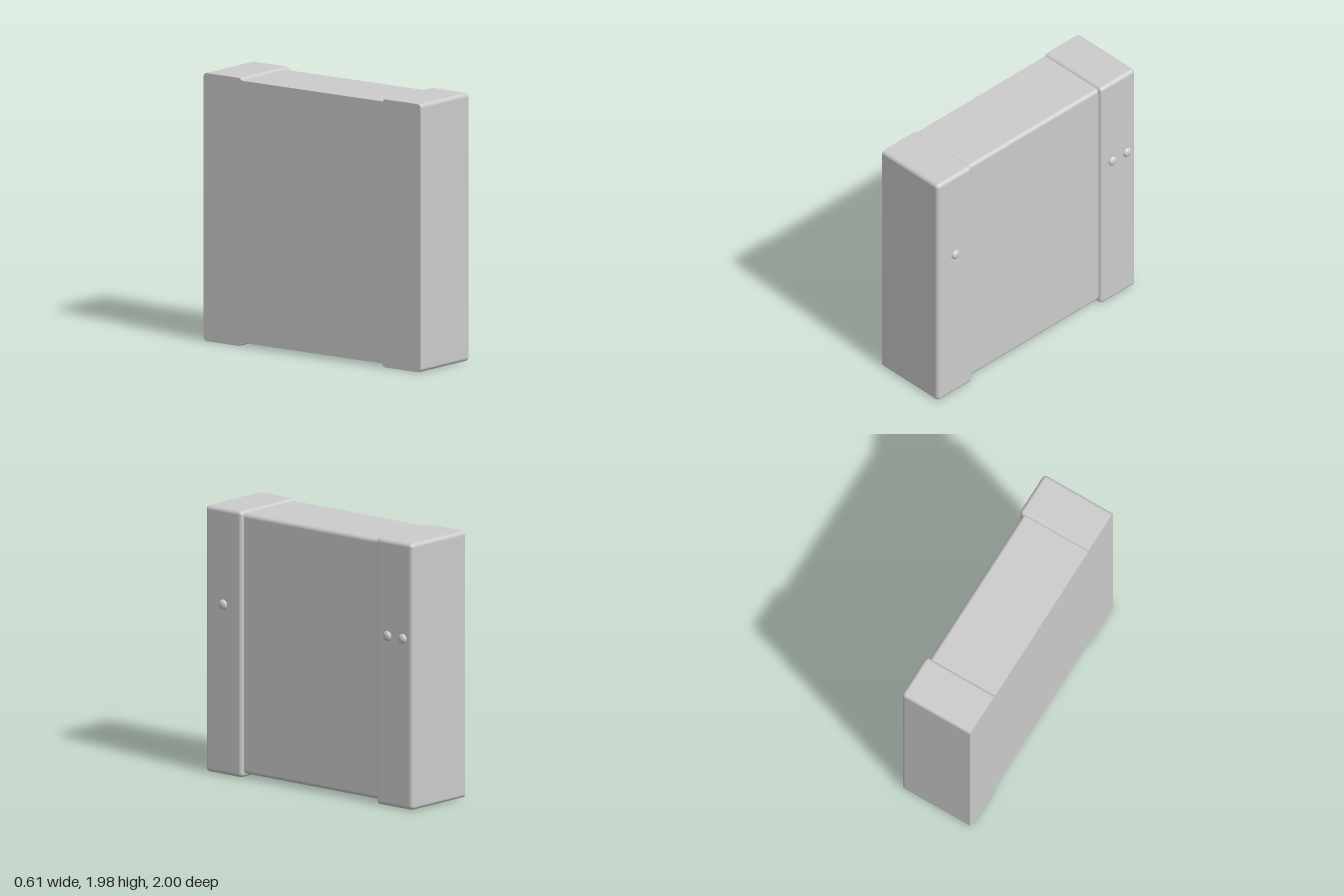
import * as THREE from 'three';
import { RoundedBoxGeometry } from 'three/addons/geometries/RoundedBoxGeometry.js';

const BACK = -0.305;
const material = new THREE.MeshStandardMaterial({ color: 0xcccccc });

// Rounded box whose back (-x) end is cut flat at BACK
function flatBackBox(frontX, y0, y1, z0, z1, r) {
  const x0 = BACK - r;
  const geo = new RoundedBoxGeometry(frontX - x0, y1 - y0, z1 - z0, 4, r);
  geo.translate((x0 + frontX) / 2, (y0 + y1) / 2, (z0 + z1) / 2);
  const p = geo.attributes.position, n = geo.attributes.normal;
  for (let i = 0; i < p.count; i += 3) {
    let flat = true;
    for (let k = i; k < i + 3; k++) {
      if (p.getX(k) > BACK + 1e-4) flat = false;
      else p.setX(k, BACK);
    }
    if (flat) for (let k = i; k < i + 3; k++) n.setXYZ(k, -1, 0, 0);
  }
  return geo;
}

export function createModel() {
  const model = new THREE.Group();
  const add = (name, geo) => {
    const mesh = new THREE.Mesh(geo, material);
    mesh.name = name;
    model.add(mesh);
    return mesh;
  };

  // Recessed centre panel, its ends tucked inside the end columns
  add('centrePanel', flatBackBox(0.252, 0.027, 1.966, -0.69, 0.69, 0.03));

  // Two end columns
  add('frontColumn', flatBackBox(0.28, 0, 1.984, 0.648, 1, 0.03));
  add('rearColumn', flatBackBox(0.28, 0, 1.984, -1, -0.648, 0.03));

  // Shallow domed buttons on the column faces
  for (const z of [0.825, -0.763, -0.91]) {
    const button = add('button', new THREE.SphereGeometry(1, 32, 20));
    button.scale.set(0.022, 0.037, 0.037);
    button.position.set(0.283, 1.268, z);
  }
  return model;
}
